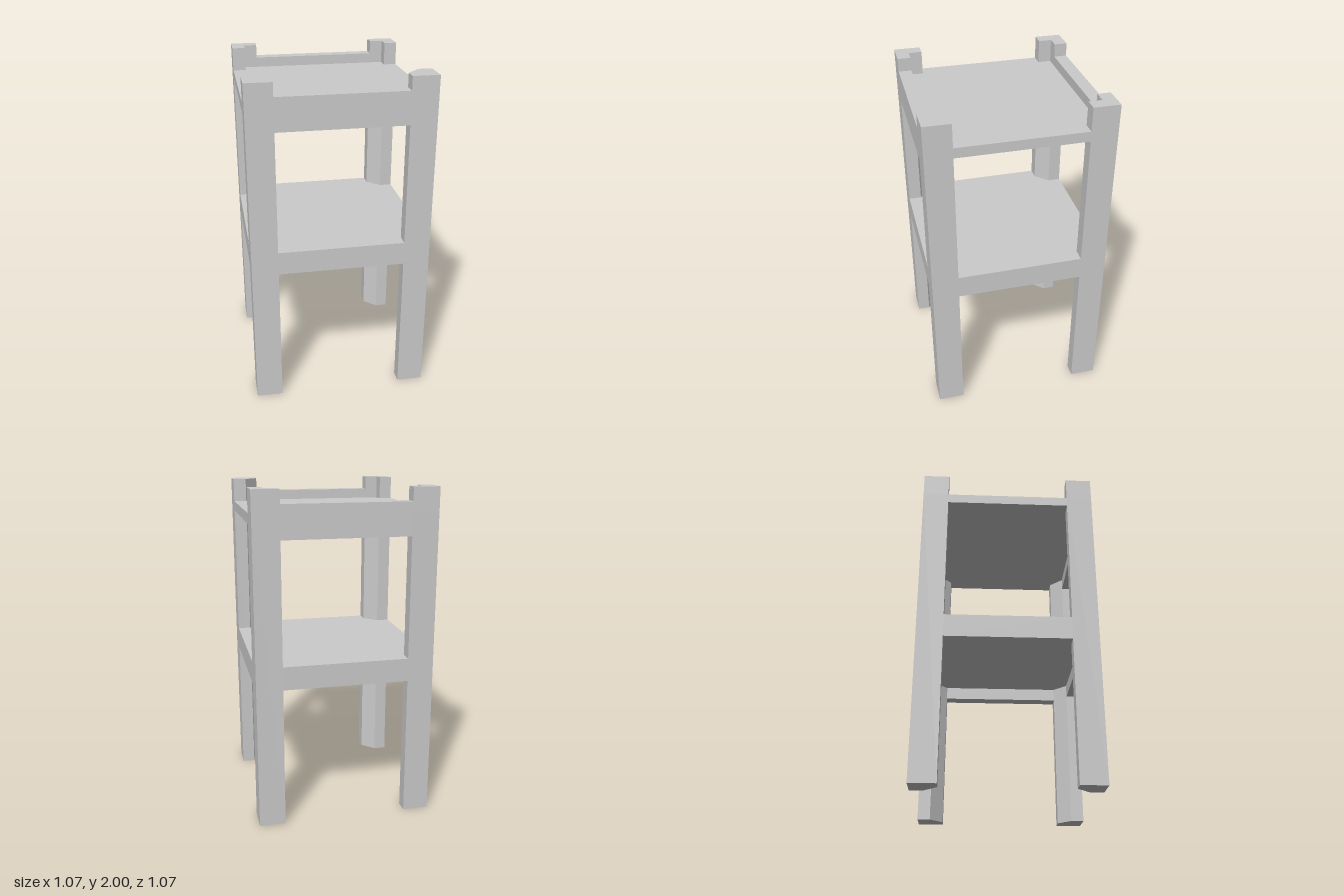
import * as THREE from 'three';

const OUT = 0.533;   // outer face of the frame
const MID = 0.455;   // inner face of the rails
const IN = 0.376;    // inner end of each leg's wings
const SHELF_TOP = 1.86, SHELF_THICK = 0.06;

const material = new THREE.MeshStandardMaterial({ color: 0xcccccc, flatShading: true });

function box(name, [x0, x1], [y0, y1], [z0, z1]) {
  const mesh = new THREE.Mesh(new THREE.BoxGeometry(x1 - x0, y1 - y0, z1 - z0), material);
  mesh.position.set((x0 + x1) / 2, (y0 + y1) / 2, (z0 + z1) / 2);
  mesh.name = name;
  return mesh;
}

// Upright prism from an [x, z] outline, mirrored into the corner (sx, sz)
function prism(name, outline, sx, sz, y0, y1) {
  const shape = new THREE.Shape(outline.map(([x, z]) => new THREE.Vector2(x * sx, -z * sz)));
  const geometry = new THREE.ExtrudeGeometry(shape, { depth: y1 - y0, bevelEnabled: false });
  geometry.rotateX(-Math.PI / 2).translate(0, y0, 0);
  const mesh = new THREE.Mesh(geometry, material);
  mesh.name = name;
  return mesh;
}

const chamfered = [[IN, OUT], [OUT, OUT], [OUT, IN], [MID, IN], [IN, MID]];
const notched = [[IN, OUT], [OUT, OUT], [OUT, IN], [MID, IN], [MID, MID], [IN, MID]];

export function createModel() {
  const model = new THREE.Group();
  model.name = 'sideTable';

  // Legs: chamfered inside; three of them are notched around the top shelf
  for (const sx of [-1, 1]) for (const sz of [-1, 1]) {
    const name = (sz > 0 ? 'front' : 'back') + (sx > 0 ? 'Left' : 'Right') + 'Leg';
    const leg = new THREE.Group();
    leg.name = name;
    if (sx > 0 && sz > 0) {
      leg.add(prism(name + 'Post', chamfered, sx, sz, 0, 2));
    } else {
      leg.add(prism(name + 'Post', chamfered, sx, sz, 0, SHELF_TOP));
      leg.add(prism(name + 'Tip', notched, sx, sz, SHELF_TOP, 2));
    }
    model.add(leg);
  }

  // Shelf boards
  model.add(box('topShelf', [-MID, MID], [SHELF_TOP - SHELF_THICK, SHELF_TOP], [-MID, MID]));
  model.add(box('lowerShelf', [-MID, MID], [1 - SHELF_THICK, 1], [-MID, MID]));

  // Rails between the legs; the top shelf has thin edges at its sides
  for (const s of [-1, 1]) {
    const strip = s > 0 ? [MID, OUT] : [-OUT, -MID];
    const end = s > 0 ? 'front' : 'back', side = s > 0 ? 'left' : 'right';
    model.add(box(end + 'TopRail', [-IN, IN], [1.725, 1.92], strip));
    model.add(box(side + 'TopShelfEdge', strip, [SHELF_TOP - SHELF_THICK, SHELF_TOP], [-IN, IN]));
    model.add(box(end + 'LowerRail', [-IN, IN], [0.86, 1], strip));
    model.add(box(side + 'LowerRail', strip, [0.86, 1], [-IN, IN]));
  }
  return model;
}
